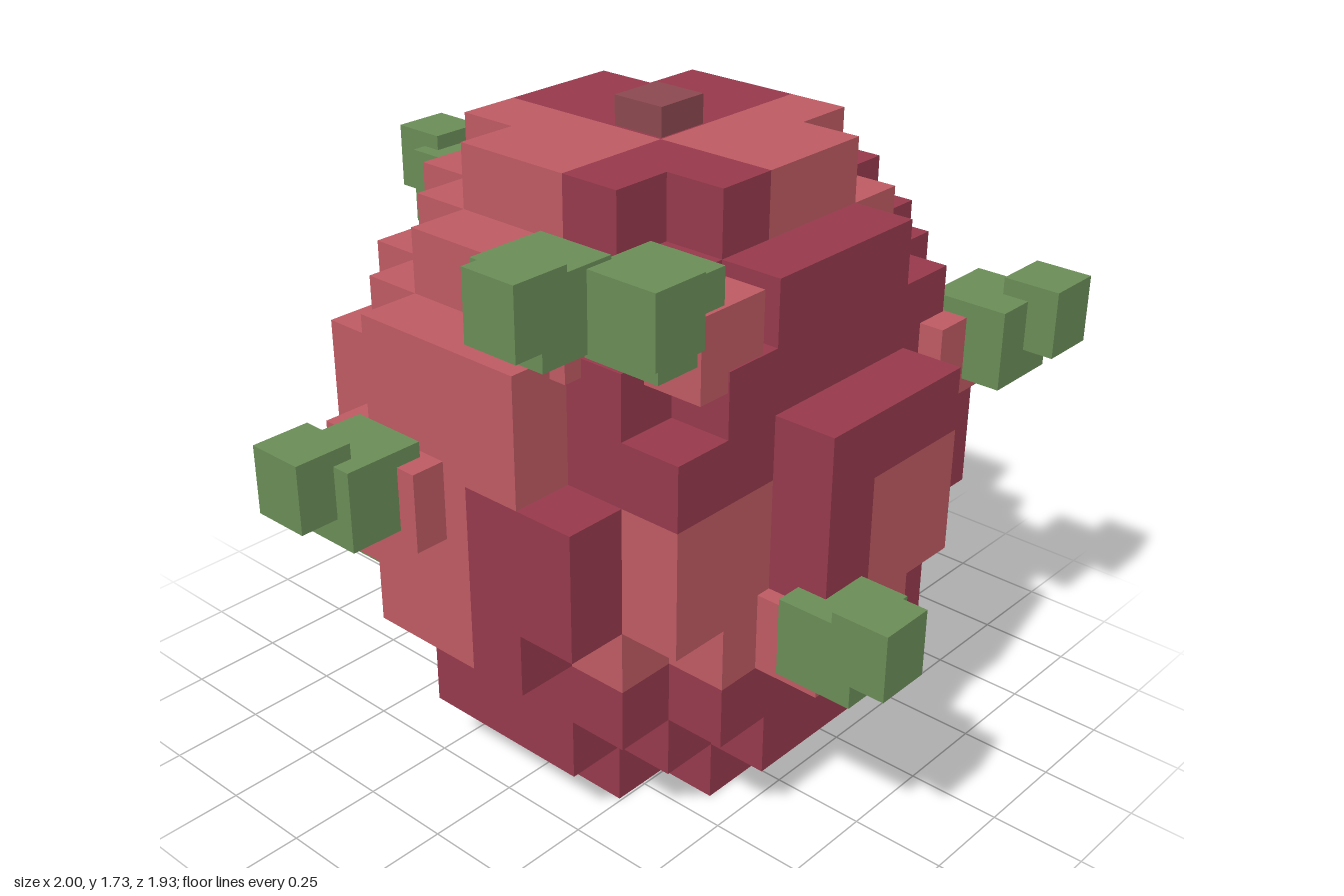
import * as THREE from 'three';
import { mergeGeometries } from 'three/addons/utils/BufferGeometryUtils.js';

const material = (name, color) => {
  const m = new THREE.MeshStandardMaterial({ color });
  m.name = name;
  return m;
};

const CELL = 0.1655;
// squared radius of the fruit in each horizontal layer, bottom to top
const LAYERS = [6, 10.2, 12.8, 16.3, 18, 18, 17, 15, 10.5, 6];
// blocks of 3 x 3 x 3 cells (x, y, z) that have the light skin
const LIGHT = new Set([
  '100', '200', '201', '300', '301', '302',
  '011', '110', '111', '112', '210', '213', '310',
  '021', '022', '120', '121',
  '131', '232',
]);

const filled = (x, y, z) =>
  y >= 0 && y < LAYERS.length && 0.85 * x * x + z * z <= LAYERS[y];

const isLight = (x, y, z) => {
  if (x === 2 && y === 8 && z === 2) return true;
  const block = [Math.floor((x + 6) / 3), Math.floor(y / 3), Math.floor((z + 5) / 3)];
  return LIGHT.has(block.join(''));
};

// outward direction with the turn that aims a plane that way
const SIDES = [
  [[1, 0, 0], [0, Math.PI / 2]], [[-1, 0, 0], [0, -Math.PI / 2]],
  [[0, 1, 0], [-Math.PI / 2, 0]], [[0, -1, 0], [Math.PI / 2, 0]],
  [[0, 0, 1], [0, 0]], [[0, 0, -1], [0, Math.PI]],
];

// exposed cell faces, sorted by skin colour
function buildSkin() {
  const light = [], dark = [];
  for (let x = -4; x <= 4; x++)
    for (let y = 0; y < LAYERS.length; y++)
      for (let z = -4; z <= 4; z++) {
        if (!filled(x, y, z)) continue;
        for (const [d, [rx, ry]] of SIDES) {
          if (filled(x + d[0], y + d[1], z + d[2])) continue;
          const face = new THREE.PlaneGeometry(CELL, CELL);
          face.rotateX(rx).rotateY(ry).translate(
            0.075 + (x + d[0] / 2) * CELL,
            (y + 0.5 + d[1] / 2) * CELL,
            -0.005 + (z + d[2] / 2) * CELL);
          (isLight(x, y, z) ? light : dark).push(face);
        }
      }
  return { light: mergeGeometries(light), dark: mergeGeometries(dark) };
}

// each sprig: centres of the root bump, the large leaf and the small leaf tip
const SPRIGS = [
  [[-0.11, 0.6, 0.65], [-0.14, 0.64, 0.765], [-0.175, 0.69, 0.89]],
  [[0.495, 1.1, 0.535], [0.6, 1.14, 0.64], [0.675, 1.2, 0.75]],
  [[-0.655, 0.93, -0.1], [-0.795, 0.97, -0.155], [-0.925, 1.025, -0.175]],
  [[-0.45, 1.38, 0.185], [-0.585, 1.475, 0.255], [-0.71, 1.52, 0.305]],
  [[-0.325, 1.375, 0.465], [-0.45, 1.465, 0.455], [-0.55, 1.52, 0.54]],
  [[0.68, 0.76, -0.38], [0.81, 0.805, -0.45], [0.92, 0.86, -0.52]],
  [[0.615, 0.27, -0.01], [0.755, 0.305, -0.005], [0.885, 0.36, -0.003]],
  [[0.575, 0.27, 0.18], [0.715, 0.305, 0.225], [0.84, 0.36, 0.267]],
  [[0.13, 1.2, -0.645], [0.145, 1.305, -0.765], [0.157, 1.36, -0.893]],
  [[0.35, 1.2, -0.575], [0.415, 1.295, -0.695], [0.47, 1.36, -0.815]],
  [[-0.24, 0.435, -0.52], [-0.275, 0.48, -0.645], [-0.335, 0.54, -0.765]],
];

export function createModel() {
  const lightSkin = material('light skin', 0xbd5a62);
  const darkSkin = material('dark skin', 0x96394c);
  const leafGreen = material('leaf green', 0x6a8c57);
  const stemBrown = material('stem brown', 0x8b494f);

  const model = new THREE.Group();
  model.name = 'blockFruit';
  const add = (parent, name, geometry, mat, position = [0, 0, 0]) => {
    const mesh = new THREE.Mesh(geometry, mat);
    mesh.name = name;
    mesh.position.set(...position);
    parent.add(mesh);
  };

  // fruit body
  const skin = buildSkin();
  add(model, 'lightBody', skin.light, lightSkin);
  add(model, 'darkBody', skin.dark, darkSkin);

  // stem
  add(model, 'stem', new THREE.BoxGeometry(0.15, 0.075, 0.15), stemBrown, [0.075, 1.6925, -0.002]);

  // leaf sprigs
  const large = new THREE.BoxGeometry(0.21, 0.205, 0.21);
  const small = new THREE.BoxGeometry(0.152, 0.174, 0.152);
  SPRIGS.forEach(([root, leaf, tip], i) => {
    const sprig = new THREE.Group();
    sprig.name = `sprig${i + 1}`;
    add(sprig, 'root', large, lightSkin, root);
    add(sprig, 'leaf', large, leafGreen, leaf);
    add(sprig, 'leafTip', small, leafGreen, tip);
    model.add(sprig);
  });

  return model;
}
